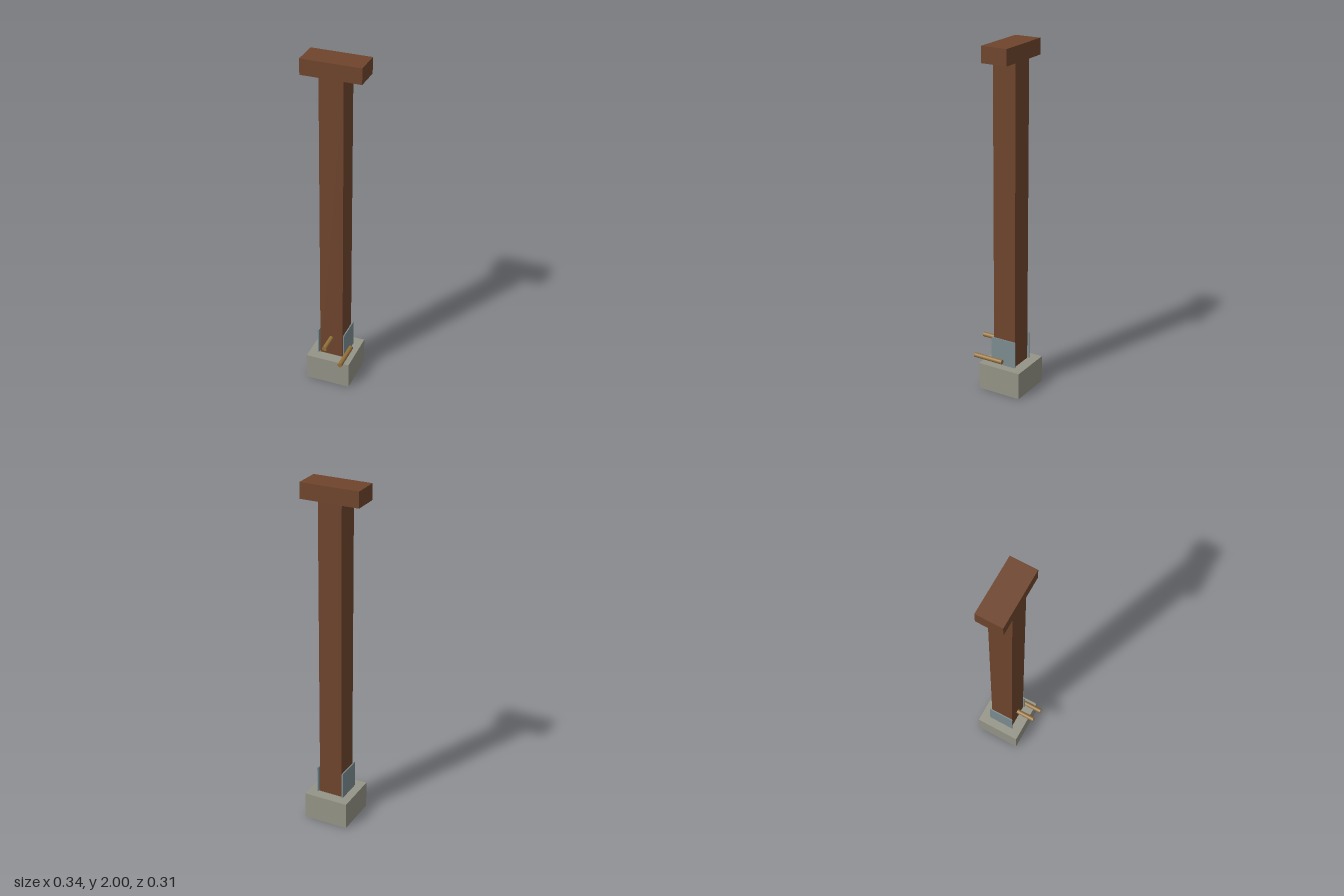
import * as THREE from 'three';

const material = (name, color) => {
  const m = new THREE.MeshStandardMaterial({ color });
  m.name = name;
  return m;
};

export function createModel() {
  const model = new THREE.Group();
  model.name = 'post';
  const wood = material('brown wood', 0x6f452d);
  const concrete = material('grey concrete', 0x949487);
  const steel = material('galvanised steel', 0x7c8c90);
  const brass = material('brass', 0x94713a);
  const axisZ = -0.025; // the post stands slightly behind the centre

  const add = (name, geometry, mat, x, y, z) => {
    const mesh = new THREE.Mesh(geometry, mat);
    mesh.name = name;
    mesh.position.set(x, y, z);
    model.add(mesh);
  };
  const box = (name, mat, w, d, y0, y1, x = 0) =>
    add(name, new THREE.BoxGeometry(w, y1 - y0, d), mat, x, (y0 + y1) / 2, axisZ);

  // Footing, post and cap beam
  box('footing', concrete, 0.262, 0.264, 0, 0.158);
  box('postShaft', wood, 0.138, 0.138, 0.158, 1.91);
  box('capBeam', wood, 0.342, 0.154, 1.91, 2);

  // Bracket plates on both sides of the post
  for (const side of [-1, 1]) {
    box(side > 0 ? 'leftPlate' : 'rightPlate', steel, 0.007, 0.154, 0.158, 0.316, side * 0.079);
  }

  // Bolts pointing forward
  const bolt = new THREE.CylinderGeometry(0.0135, 0.0135, 0.182, 16).rotateX(Math.PI / 2);
  add('upperBolt', bolt, brass, 0, 0.275, 0.065);
  add('lowerBolt', bolt, brass, 0.095, 0.183, 0.065);

  return model;
}
